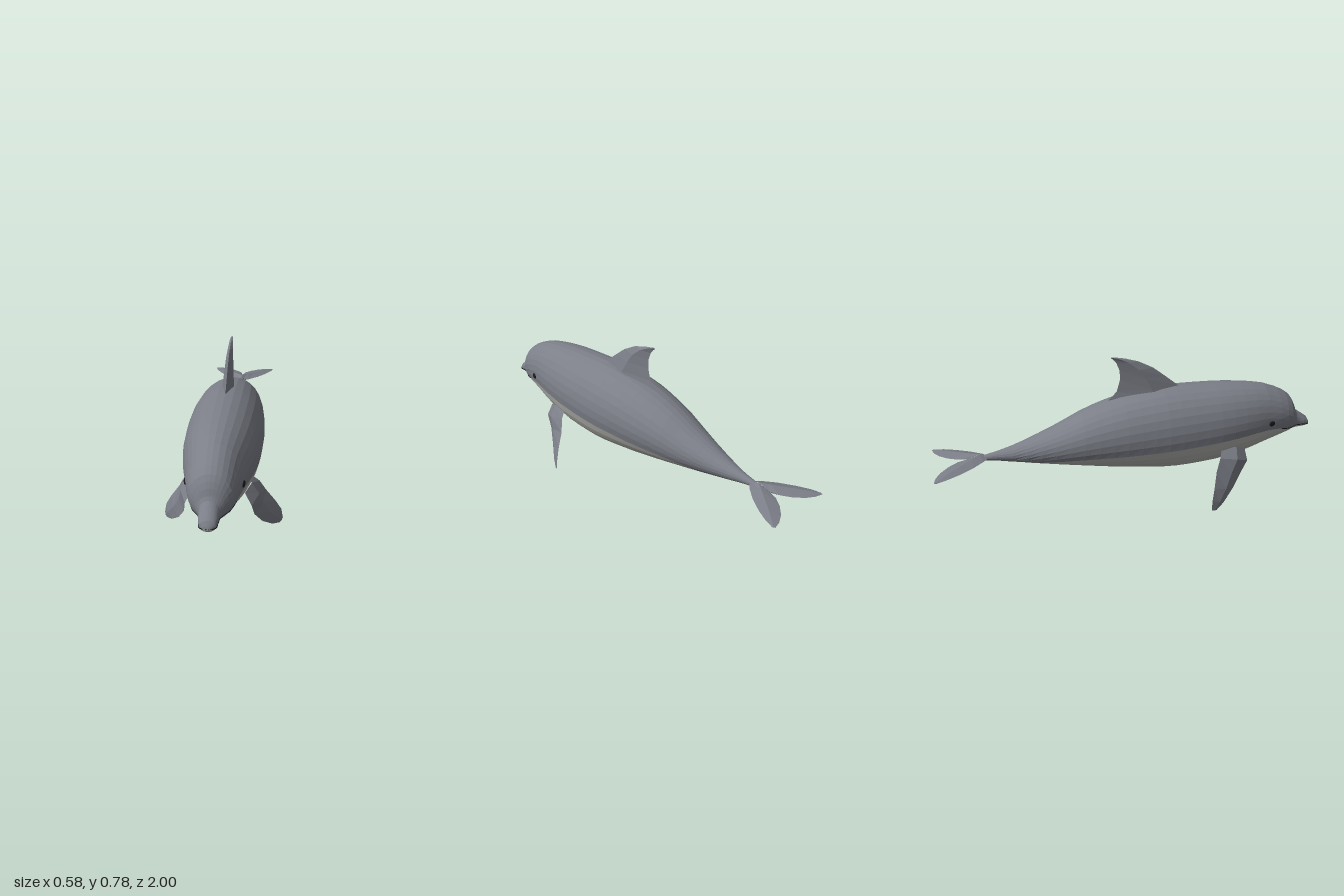
import * as THREE from 'three';

const mat = (name, color) => {
  const m = new THREE.MeshStandardMaterial({ color, flatShading: true });
  m.name = name;
  return m;
};

// Smooth monotone interpolation through [z, value] pairs (z descending)
function profile(pts) {
  const d = pts.slice(1).map((p, i) => (p[1] - pts[i][1]) / (p[0] - pts[i][0]));
  const slope = pts.map((_, i) => {
    if (i === 0) return d[0];
    if (i === pts.length - 1) return d[i - 1];
    return d[i - 1] * d[i] <= 0 ? 0 : (2 * d[i - 1] * d[i]) / (d[i - 1] + d[i]);
  });
  return (z) => {
    let i = 0;
    while (i < pts.length - 2 && z < pts[i + 1][0]) i++;
    const h = pts[i + 1][0] - pts[i][0];
    const t = THREE.MathUtils.clamp((z - pts[i][0]) / h, 0, 1);
    const t2 = t * t, t3 = t2 * t;
    return (2 * t3 - 3 * t2 + 1) * pts[i][1] + (t3 - 2 * t2 + t) * h * slope[i]
      + (3 * t2 - 2 * t3) * pts[i + 1][1] + (t3 - t2) * h * slope[i + 1];
  };
}

// Skin a list of equal-length cross-sections
function loft(rings, closed, capEnd) {
  const n = rings[0].length, index = [];
  const sides = closed ? n : n - 1;
  for (let r = 0; r < rings.length - 1; r++) {
    for (let i = 0; i < sides; i++) {
      const a = r * n + i, b = r * n + (i + 1) % n;
      index.push(a, b, a + n, b, b + n, a + n);
    }
  }
  if (capEnd) {
    const o = (rings.length - 1) * n;
    for (let i = 1; i < n - 1; i++) index.push(o, o + i, o + i + 1);
  }
  const g = new THREE.BufferGeometry();
  g.setAttribute('position', new THREE.Float32BufferAttribute(rings.flat().flatMap((p) => p.toArray()), 3));
  g.setIndex(index);
  g.computeVertexNormals();
  return g;
}

// Fin with a diamond section: each row is [lead xyz, trail xyz, half thickness]
function finGeometry(rows, side = 1) {
  const v = (p) => new THREE.Vector3(p[0] * side, p[1], p[2]);
  const secs = rows.map(([l, t, thick]) => {
    const lead = v(l), trail = v(t);
    return { lead, trail, thick, mid: lead.clone().lerp(trail, 0.45) };
  });
  const rings = secs.map((s, i) => {
    const prev = secs[Math.max(i - 1, 0)].mid, next = secs[Math.min(i + 1, secs.length - 1)].mid;
    const normal = s.trail.clone().sub(s.lead).cross(next.clone().sub(prev)).normalize().multiplyScalar(s.thick);
    return [s.lead, s.mid.clone().add(normal), s.trail, s.mid.clone().sub(normal)];
  });
  return loft(rings, true, true);
}

// Body outline along its length
const top = profile([[1, 0.316], [0.99, 0.338], [0.95, 0.369], [0.91, 0.4], [0.895, 0.44], [0.865, 0.49],
  [0.79, 0.535], [0.68, 0.57], [0.46, 0.594], [0.22, 0.6], [0, 0.58], [-0.2, 0.528], [-0.4, 0.44],
  [-0.6, 0.367], [-0.72, 0.338], [-0.82, 0.322]]);
const bottom = profile([[1, 0.306], [0.99, 0.294], [0.9, 0.285], [0.8, 0.257], [0.6, 0.198], [0.42, 0.168],
  [0.24, 0.16], [0, 0.183], [-0.2, 0.213], [-0.4, 0.247], [-0.58, 0.277], [-0.72, 0.302], [-0.82, 0.314]]);
const width = profile([[1, 0.008], [0.99, 0.032], [0.96, 0.041], [0.92, 0.045], [0.895, 0.064], [0.865, 0.093],
  [0.8, 0.112], [0.7, 0.132], [0.6, 0.155], [0.4, 0.18], [0.2, 0.186], [0, 0.174], [-0.2, 0.145],
  [-0.4, 0.1], [-0.6, 0.047], [-0.72, 0.018], [-0.82, 0.008]]);
const seam = profile([[1, 0.311], [0.9, 0.317], [0.83, 0.326], [0.78, 0.34], [0.7, 0.346], [0.5, 0.337],
  [0.2, 0.32], [0, 0.311], [-0.3, 0.295], [-0.45, 0.283], [-0.58, 0.276], [-0.82, 0.31]]);

// Angle from the top of the section at height y, and the skin point at an angle
const angleAt = (z, y) => {
  const c = (top(z) + bottom(z)) / 2, h = (top(z) - bottom(z)) / 2;
  return Math.acos(THREE.MathUtils.clamp((y - c) / h, -1, 1));
};
const skin = (z, a) => new THREE.Vector3(
  width(z) * Math.sin(a),
  (top(z) + bottom(z)) / 2 + ((top(z) - bottom(z)) / 2) * Math.cos(a), z);

const dorsalRows = [
  [0.5, 0.35, -0.15, 0.036], [0.56, 0.3, -0.112, 0.033], [0.6, 0.25, -0.073, 0.028], [0.66, 0.178, -0.056, 0.022],
  [0.71, 0.115, -0.057, 0.018], [0.75, 0.04, -0.073, 0.012], [0.772, -0.03, -0.09, 0.009], [0.782, -0.08, -0.104, 0.005],
].map(([y, lead, trail, t]) => [[0, y, lead], [0, y, trail], t]);

const flipperRows = [
  [[0.12, 0.26, 0.585], [0.14, 0.285, 0.45], 0.022],
  [[0.152, 0.2, 0.592], [0.178, 0.245, 0.43], 0.02],
  [[0.163, 0.135, 0.553], [0.207, 0.185, 0.402], 0.016],
  [[0.198, 0.07, 0.5], [0.252, 0.115, 0.377], 0.012],
  [[0.243, 0.02, 0.435], [0.281, 0.06, 0.358], 0.008],
  [[0.275, 0, 0.385], [0.29, 0.01, 0.353], 0.003],
];

const flukeRows = [
  [[0, 0.322, -0.72], [0, 0.32, -0.83], 0.018],
  [[0.045, 0.319, -0.757], [0.014, 0.318, -0.88], 0.016],
  [[0.09, 0.315, -0.81], [0.045, 0.314, -0.925], 0.013],
  [[0.135, 0.311, -0.88], [0.09, 0.31, -0.967], 0.01],
  [[0.165, 0.308, -0.94], [0.135, 0.307, -0.991], 0.006],
  [[0.179, 0.305, -0.985], [0.173, 0.305, -1], 0.002],
];

export function createModel() {
  const model = new THREE.Group();
  const grey = mat('slateGrey', 0x7c7f88);
  const pale = mat('paleBelly', 0xb2b2ae);
  const dark = mat('nearBlack', 0x191a1d);
  const add = (name, geometry, material) => {
    const mesh = new THREE.Mesh(geometry, material);
    mesh.name = name;
    model.add(mesh);
    return mesh;
  };

  // Stations: close together on the beak and forehead, even along the trunk
  const stations = [1, 0.996, 0.985, 0.96, 0.935, 0.915, 0.905, 0.895, 0.882, 0.865, 0.835];
  for (let z = 0.79; z > -0.83; z -= 0.07) stations.push(z);
  const panel = (n, from, to) => stations.map((z) => {
    const s = angleAt(z, seam(z));
    return Array.from({ length: n + 1 }, (_, i) => skin(z, THREE.MathUtils.lerp(from(s), to(s), i / n)));
  });

  // Body: grey back and pale belly meeting along the seam
  add('back', loft(panel(18, (s) => -s, (s) => s)), grey);
  add('belly', loft(panel(12, (s) => s, (s) => 2 * Math.PI - s)), pale);

  // Mouth line around the beak
  const mouthZ = [0.8, 0.83, 0.865, 0.89, 0.91, 0.95, 0.985];
  const half = mouthZ.map((z) => skin(z, angleAt(z, seam(z))));
  const other = half.map((p) => new THREE.Vector3(-p.x, p.y, p.z)).reverse();
  const lips = new THREE.CatmullRomCurve3([...half, new THREE.Vector3(0, 0.311, 0.998), ...other]);
  add('mouthLine', new THREE.TubeGeometry(lips, 48, 0.0025, 5), dark);

  // Fins
  add('dorsalFin', finGeometry(dorsalRows), grey);
  for (const [label, side] of [['left', 1], ['right', -1]]) {
    add(label + 'Flipper', finGeometry(flipperRows, side), grey);
    add(label + 'Fluke', finGeometry(flukeRows, side), grey);

    // Eye set into the side of the head
    const eye = add(label + 'Eye', new THREE.SphereGeometry(1, 10, 8), dark);
    eye.position.copy(skin(0.73, angleAt(0.73, 0.382)));
    eye.position.x *= side;
    eye.scale.set(0.006, 0.015, 0.018);
    eye.rotation.y = -0.2 * side;
  }
  return model;
}
